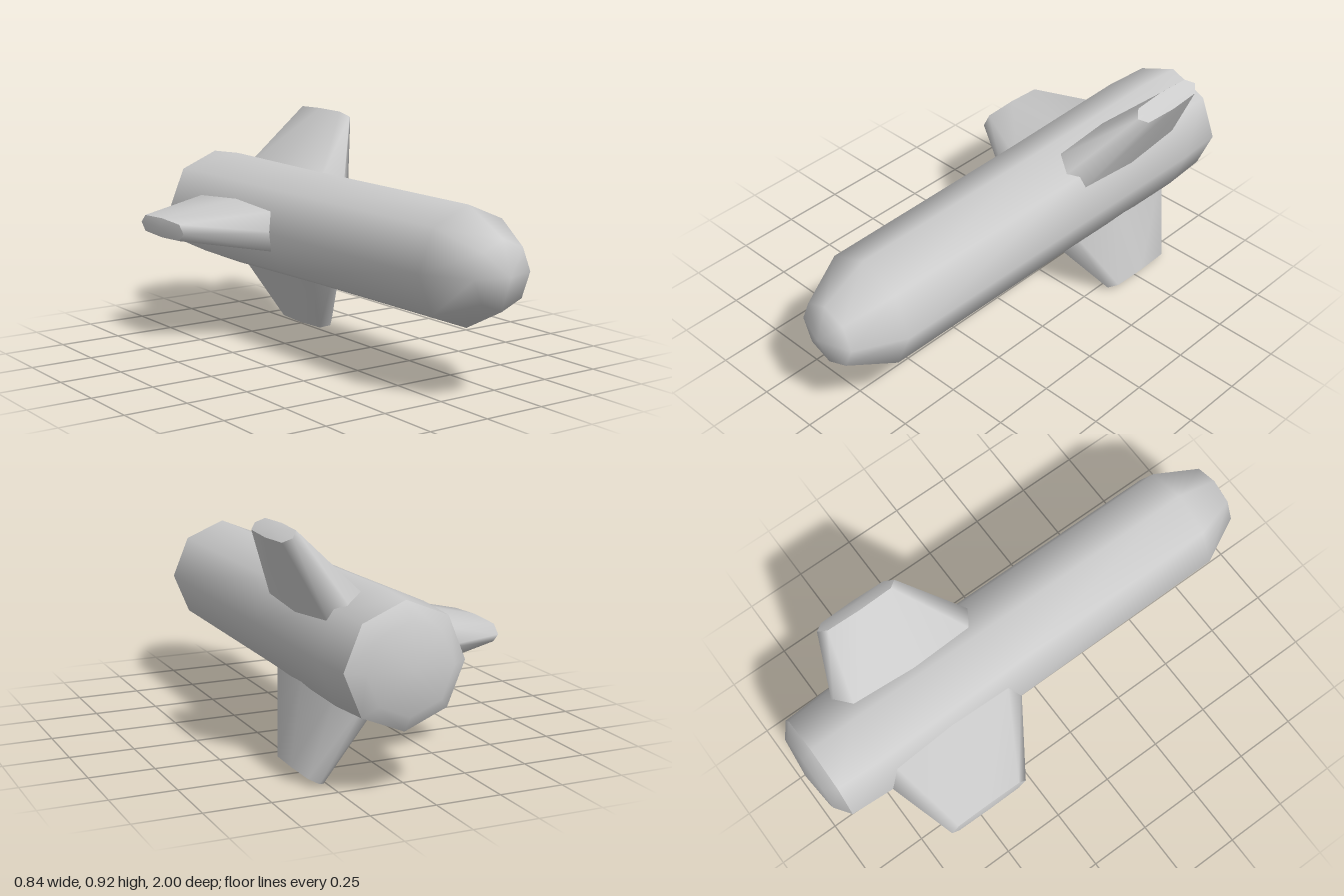
import * as THREE from 'three';
import { mergeVertices } from 'three/addons/utils/BufferGeometryUtils.js';

const AXIS_X = 0.095, AXIS_Y = 0.495;
const material = new THREE.MeshStandardMaterial({ color: 0xcccccc });

// Eight-sided turned solid along z with smooth normals; profile is [radius, z] from back to front
function turned(name, profile) {
  let geo = new THREE.LatheGeometry(profile.map(([r, z]) => new THREE.Vector2(r, z)), 8);
  geo.deleteAttribute('uv');
  geo.deleteAttribute('normal');
  geo = mergeVertices(geo, 1e-4);
  geo.computeVertexNormals();
  geo.rotateX(Math.PI / 2);
  const mesh = new THREE.Mesh(geo, material);
  mesh.name = name;
  return mesh;
}

// Flattened octagon, as fractions of [half thickness, half chord]
const SECTION = [[1, 0], [0.84, 0.81], [0, 1], [-0.84, 0.81], [-1, 0], [-0.84, -0.81], [0, -1], [0.84, -0.81]];

// Ring of fin vertices at distance r from the body axis
const ring = (r, half, zFront, zBack) => SECTION.map(([t, c]) =>
  [r, t * half, (zFront + zBack) / 2 + c * (zFront - zBack) / 2]);

function surface(name, points, index) {
  const geo = new THREE.BufferGeometry();
  geo.setAttribute('position', new THREE.Float32BufferAttribute(points.flat(), 3));
  geo.setIndex(index);
  geo.computeVertexNormals();
  const mesh = new THREE.Mesh(geo, material);
  mesh.name = name;
  return mesh;
}

// Tapered fin pointing along +x, with a slightly domed tip
function makeFin() {
  const root = ring(0.15, 0.104, -0.105, -0.79);
  const tip = ring(0.507, 0.039, -0.345, -0.685);
  const walls = [], cap = [];
  for (let i = 0; i < 8; i++) {
    const j = (i + 1) % 8;
    walls.push(i, j, j + 8, i, j + 8, i + 8);
    cap.push(8, i, j);
  }
  const fin = new THREE.Group();
  fin.add(surface('finWalls', [...root, ...tip], walls));
  fin.add(surface('finTip', [...tip, [0.515, 0, -0.515]], cap));
  return fin;
}

export function createModel() {
  const model = new THREE.Group();
  model.name = 'finnedBody';

  // Long body swelling slightly at the fins, with a rounded nose
  model.add(turned('body', [[0.227, -0.94], [0.238, -0.75], [0.228, -0.16], [0.222, 0.77], [0.128, 0.955], [0, 1]]));

  // Shallow domed tail with a crisp rim
  model.add(turned('tailCap', [[0, -1], [0.165, -0.983], [0.227, -0.94]]));

  // Three fins around the tail
  [['upperLeftFin', 54.3], ['rightFin', 180], ['lowerLeftFin', -67]].forEach(([name, degrees]) => {
    const fin = makeFin();
    fin.name = name;
    fin.rotation.z = THREE.MathUtils.degToRad(degrees);
    model.add(fin);
  });

  model.children.forEach((part) => part.position.set(AXIS_X, AXIS_Y, 0));
  return model;
}
